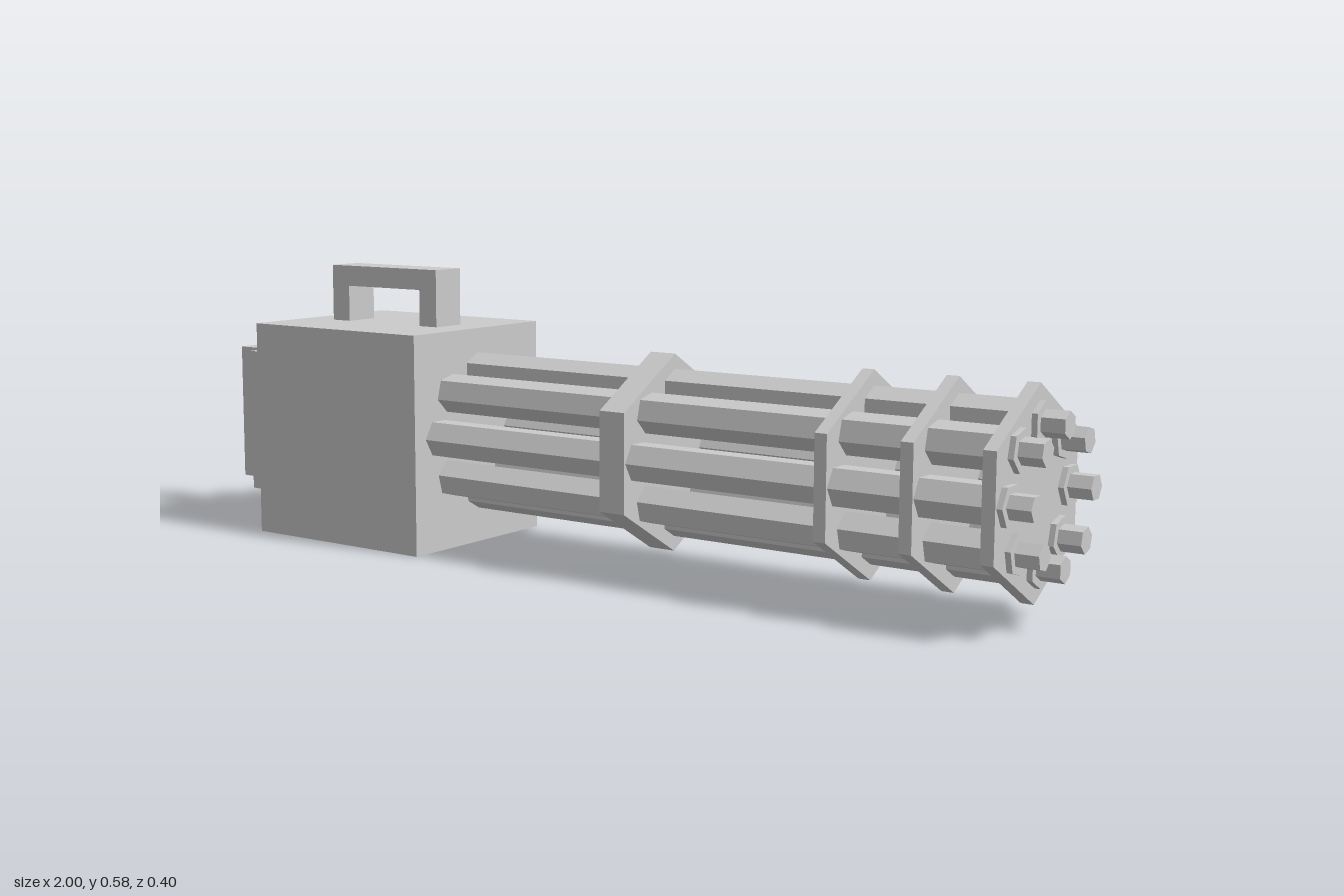
import * as THREE from 'three';

const material = new THREE.MeshStandardMaterial({ color: 0xcccccc, flatShading: true });
const AXIS_Y = 0.24;

function mesh(name, geometry) {
  const m = new THREE.Mesh(geometry, material);
  m.name = name;
  return m;
}

// Box given by its extents in x and y and its half depth in z
function block(name, x0, x1, y0, y1, halfZ) {
  const m = mesh(name, new THREE.BoxGeometry(x1 - x0, y1 - y0, halfZ * 2));
  m.position.set((x0 + x1) / 2, (y0 + y1) / 2, 0);
  return m;
}

// Six-sided bar lying along x, one corner towards +z
function hexBar(name, radius, x0, x1) {
  const geometry = new THREE.CylinderGeometry(radius, radius, x1 - x0, 6);
  geometry.rotateZ(-Math.PI / 2).translate((x0 + x1) / 2, 0, 0);
  return mesh(name, geometry);
}

// U-shaped handle: outline in x and y, extruded evenly about z = 0
function handle(name, points, halfZ) {
  const shape = new THREE.Shape(points.map(([x, y]) => new THREE.Vector2(x, y)));
  const geometry = new THREE.ExtrudeGeometry(shape, { depth: halfZ * 2, bevelEnabled: false });
  return mesh(name, geometry.translate(0, 0, -halfZ));
}

export function createModel() {
  const model = new THREE.Group();
  model.name = 'rotaryGun';

  // Housing and the plate behind it
  model.add(block('housing', -0.78, -0.325, 0, 0.458, 0.2));
  model.add(block('rearPlate', -0.88, -0.78, 0.075, 0.385, 0.126));

  // Carrying handle on top and grip at the rear
  model.add(handle('topHandle', [
    [-0.705, 0.458], [-0.657, 0.458], [-0.657, 0.535], [-0.452, 0.535],
    [-0.452, 0.458], [-0.405, 0.458], [-0.405, 0.579], [-0.705, 0.579],
  ], 0.039));
  model.add(handle('rearHandle', [
    [-0.88, 0.08], [-0.88, 0.13], [-0.955, 0.13], [-0.955, 0.33],
    [-0.88, 0.33], [-0.88, 0.38], [-1, 0.38], [-1, 0.08],
  ], 0.039));

  // Barrel cluster around its own axis
  const cluster = new THREE.Group();
  cluster.name = 'barrelCluster';
  cluster.position.y = AXIS_Y;
  model.add(cluster);

  // Ring of eight barrels with narrower muzzles
  for (let i = 0; i < 8; i++) {
    const arm = new THREE.Group();
    arm.name = `barrel${i + 1}`;
    const barrel = hexBar('barrelTube', 0.04, -0.325, 0.955);
    const muzzle = hexBar('muzzle', 0.025, 0.955, 1);
    barrel.position.z = muzzle.position.z = 0.127;
    arm.add(barrel, muzzle);
    arm.rotation.x = (i * Math.PI) / 4;
    cluster.add(arm);
  }

  // Hexagonal clamp plates with a corner pointing up
  [[0.122, 0.18], [0.595, 0.62], [0.765, 0.79], [0.919, 0.944]].forEach(([x0, x1], i) => {
    const clamp = hexBar(`clampPlate${i + 1}`, 0.197, x0, x1);
    clamp.rotation.x = -Math.PI / 2;
    cluster.add(clamp);
  });

  return model;
}
